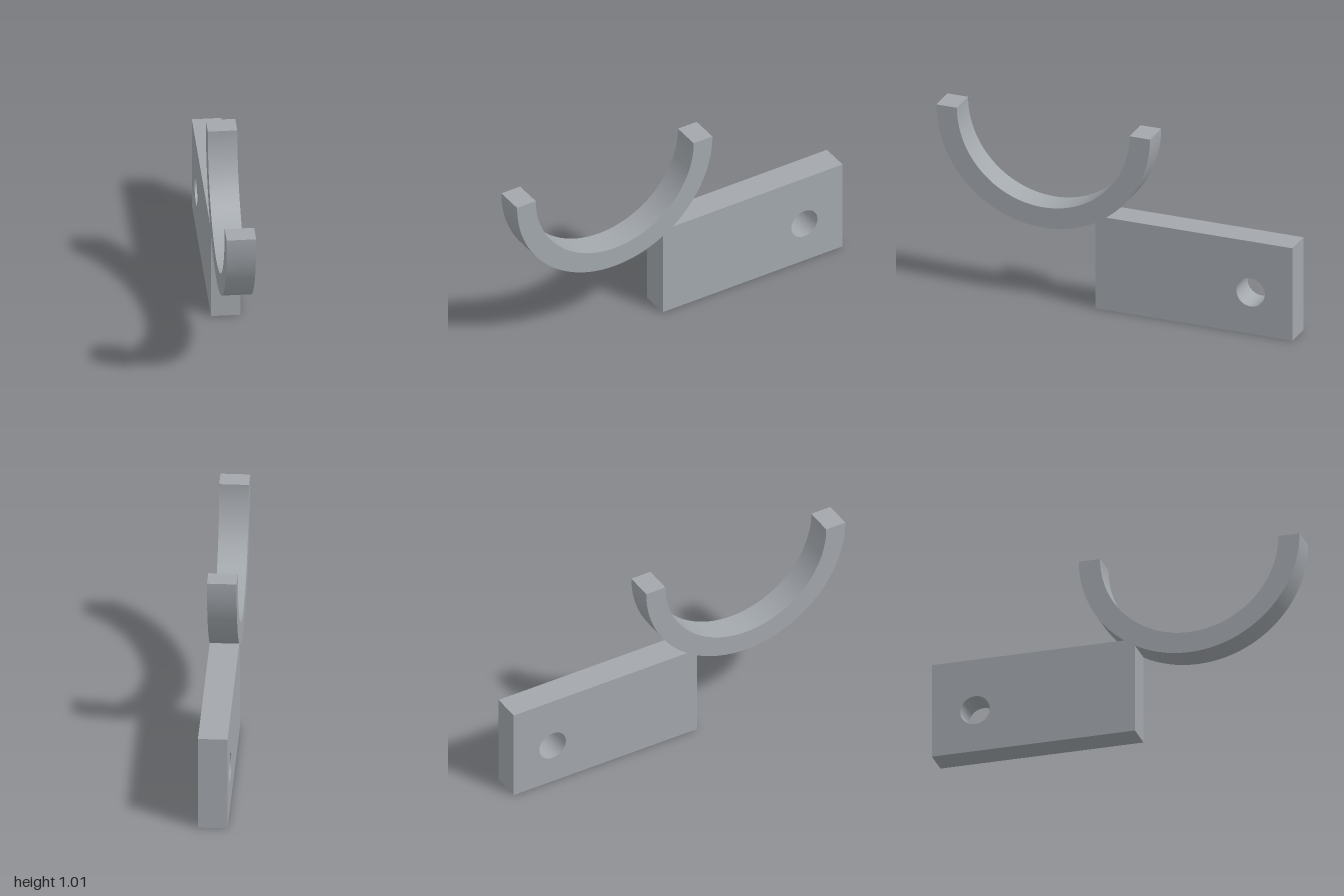
import * as THREE from 'three';
import { toCreasedNormals } from 'three/addons/utils/BufferGeometryUtils.js';

export function createModel() {
  const group = new THREE.Group();
  group.name = 'cradleBracket';

  const greyMetal = new THREE.MeshStandardMaterial({ color: 0xa3a8ad });
  greyMetal.name = 'greyMetal';

  const thickness = 0.154;
  const plate = { back: -1, front: 0.105, top: 0.525 };
  const ring = { z: 0.4, y: 1.01, outer: 0.6, inner: 0.485 };

  // Angles where the outer arc meets the plate's front edge and top edge
  const frontAngle = -Math.acos((plate.front - ring.z) / ring.outer);
  const topAngle = Math.PI - Math.asin((plate.top - ring.y) / ring.outer);

  // Side outline (shape x runs along model z): plate and half-ring cradle in one
  const outline = new THREE.Shape();
  outline.moveTo(plate.back, 0);
  outline.lineTo(plate.front, 0);
  outline.absarc(ring.z, ring.y, ring.outer, frontAngle, 0, false);
  outline.absarc(ring.z, ring.y, ring.inner, 0, -Math.PI, true);
  outline.absarc(ring.z, ring.y, ring.outer, Math.PI, topAngle, false);
  outline.lineTo(plate.back, plate.top);
  outline.closePath();

  // Bolt hole
  const hole = new THREE.Path();
  hole.absarc(-0.765, 0.235, 0.08, 0, Math.PI * 2, true);
  outline.holes.push(hole);

  const solid = new THREE.ExtrudeGeometry(outline, {
    depth: thickness, bevelEnabled: false, curveSegments: 64,
  });
  solid.translate(0, 0, -thickness / 2);
  solid.rotateY(-Math.PI / 2);

  const bracket = new THREE.Mesh(toCreasedNormals(solid, 0.5), greyMetal);
  bracket.name = 'plateWithCradle';
  group.add(bracket);
  return group;
}
